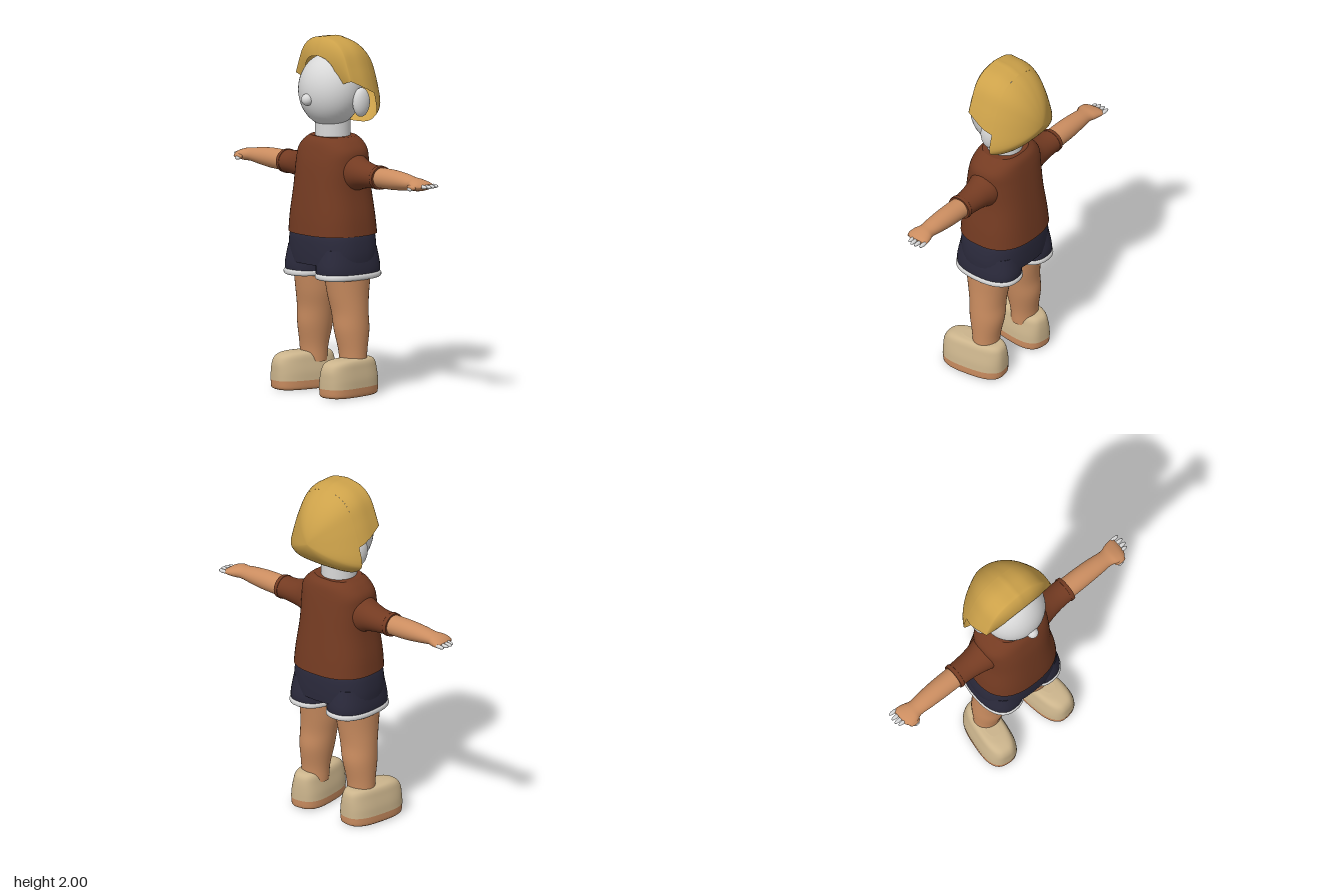
import * as THREE from 'three';

const paint = (name, color) => Object.assign(new THREE.MeshStandardMaterial({ color }), { name });

// Smooth solid through oval rings [t, centreU, centreW, radiusU, radiusW].
// axis 'y': u = x, w = z.  axis 'x': u = y, w = z.  power > 2 squares the oval.
function loft(rings, { axis = 'y', power = 2, seg = 36, steps = 5 } = {}) {
  const mid = new THREE.CatmullRomCurve3(rings.map(r => new THREE.Vector3(r[0], r[1], r[2])), false, 'catmullrom');
  const rad = new THREE.CatmullRomCurve3(rings.map(r => new THREE.Vector3(r[3], r[4], 0)), false, 'catmullrom');
  const rows = (rings.length - 1) * steps;
  const pos = [], idx = [];
  const put = (t, u, w) => (axis === 'y' ? pos.push(u, t, w) : pos.push(t, u, w));
  const tri = (a, b, c) => (axis === 'y' ? idx.push(a, b, c) : idx.push(a, c, b));
  const shape = v => Math.sign(v) * Math.abs(v) ** (2 / power);
  const ring = i => {
    const c = mid.getPoint(i / rows), r = rad.getPoint(i / rows);
    for (let j = 0; j < seg; j++) {
      const a = (j / seg) * Math.PI * 2;
      put(c.x, c.y + r.x * shape(Math.cos(a)), c.z + r.y * shape(Math.sin(a)));
    }
    return c;
  };
  for (let i = 0; i <= rows; i++) ring(i);
  for (let i = 0; i < rows; i++) {
    for (let j = 0; j < seg; j++) {
      const a = i * seg + j, b = i * seg + (j + 1) % seg;
      tri(a, a + seg, b);
      tri(b, a + seg, b + seg);
    }
  }
  // flat end caps with their own vertices
  for (const end of [0, rows]) {
    const start = pos.length / 3;
    const c = ring(end);
    put(c.x, c.y, c.z);
    for (let j = 0; j < seg; j++) {
      const a = start + j, b = start + (j + 1) % seg;
      if (end) tri(a, start + seg, b); else tri(a, b, start + seg);
    }
  }
  return finish(pos, idx);
}

function finish(pos, idx) {
  const g = new THREE.BufferGeometry();
  g.setAttribute('position', new THREE.Float32BufferAttribute(pos, 3));
  g.setIndex(idx);
  g.computeVertexNormals();
  return g;
}

const ball = (x, y, z, rx, ry, rz, detail = 28) =>
  new THREE.SphereGeometry(1, detail, Math.round(detail * 0.7)).scale(rx, ry, rz).translate(x, y, z);

// Copy of a geometry reflected to the -x side
function reflect(geo) {
  const g = geo.clone().scale(-1, 1, 1);
  const index = g.index.array;
  for (let i = 0; i < index.length; i += 3) [index[i], index[i + 1]] = [index[i + 1], index[i]];
  g.computeVertexNormals();
  return g;
}

// Hair shell: one arch-shaped outline, scaled along z slices [z, scale]
const outline = new THREE.CatmullRomCurve3([
  [0, 2], [0.1, 1.98], [0.17, 1.925], [0.215, 1.83], [0.25, 1.73],
  [0.285, 1.6], [0.265, 1.545], [0.18, 1.505], [0, 1.495],
].map(([x, y]) => new THREE.Vector3(x, y, 0)), false, 'catmullrom');

function hairShell(slices, lowest, half = 28) {
  const pos = [], idx = [], n = half * 2 + 1;
  for (const [z, s] of slices) {
    let end = 1;
    while (outline.getPoint(end).y < lowest(z) && end > 0.1) end -= 0.004;
    for (let j = -half; j <= half; j++) {
      const v = Math.abs(j) / half;
      const p = outline.getPoint(v * end);
      const depth = z > 0.08 ? 0.08 + (z - 0.08) * (1 - v * v) : z;
      pos.push(Math.sign(j) * p.x * s, 1.7 + (p.y - 1.7) * s, depth);
    }
  }
  for (let i = 0; i < slices.length - 1; i++) {
    for (let j = 0; j < n - 1; j++) {
      const a = i * n + j;
      idx.push(a, a + 1, a + n, a + 1, a + n + 1, a + n);
    }
  }
  return finish(pos, idx);
}

export function createModel() {
  const skin = paint('skin', 0xcb8d60);
  const pale = paint('pale', 0xd8d8d8);
  const shirt = paint('shirt brown', 0x743b22);
  const navy = paint('shorts navy', 0x2b2a3c);
  const shoe = paint('shoe beige', 0xcbb48c);
  const blond = paint('hair blond', 0xcda24a);
  blond.side = THREE.DoubleSide;

  const model = new THREE.Group();
  model.name = 'child';
  const add = (name, geo, mat) => {
    const mesh = new THREE.Mesh(geo, mat);
    mesh.name = name;
    model.add(mesh);
  };
  const addPair = (name, geo, mat) => {
    add('left' + name, geo, mat);
    add('right' + name, reflect(geo), mat);
  };

  // Head
  add('head', ball(0, 1.695, 0.03, 0.186, 0.207, 0.172, 40), pale);
  add('nose', ball(0, 1.655, 0.195, 0.034, 0.034, 0.036), pale);
  add('neck', new THREE.CylinderGeometry(0.1, 0.1, 0.16, 32).translate(0, 1.47, 0.01), pale);
  addPair('Ear', ball(0.192, 1.64, -0.035, 0.036, 0.082, 0.055), pale);

  // Hair: swept fringe and crown, then the full bob at the back
  const bulge = z => (z >= 0 ? 1 : (1 - (-z / 0.26) ** 1.8) ** 0.6);
  const front = [[0.122, 0.65], [0.12, 0.72], [0.113, 0.82], [0.1, 0.92], [0.082, 0.99]];
  for (let i = 0; i <= 8; i++) {
    const z = 0.075 - (0.165 * i) / 8;
    front.push([z, bulge(z)]);
  }
  const back = [];
  for (let i = 0; i <= 18; i++) {
    const z = -0.09 - 0.17 * Math.sin((i / 18) * Math.PI / 2);
    back.push([z, bulge(Math.max(z, -0.26))]);
  }
  add('hairFringe', hairShell(front, z => (z > 0.08 ? 1.77 : 1.77 + (z - 0.08) * 0.47)), blond);
  add('hairBob', hairShell(back, () => 0), blond);

  // Shirt
  add('shirtBody', loft([
    [0.895, 0, 0.01, 0.25, 0.215], [1.0, 0, 0.012, 0.24, 0.207], [1.15, 0, 0.013, 0.218, 0.19],
    [1.28, 0, 0.012, 0.215, 0.172], [1.36, 0, 0.008, 0.212, 0.155],
    [1.41, 0, 0.005, 0.175, 0.138], [1.44, 0, 0.005, 0.132, 0.112],
  ], { power: 2.5, seg: 48 }), shirt);
  addPair('Sleeve', loft([
    [0.12, 1.25, 0.005, 0.12, 0.105], [0.19, 1.25, 0.005, 0.108, 0.097], [0.25, 1.246, 0.005, 0.083, 0.083],
    [0.32, 1.243, 0.003, 0.068, 0.073], [0.385, 1.243, 0.003, 0.064, 0.07],
    [0.39, 1.243, 0.003, 0.068, 0.075], [0.412, 1.243, 0.003, 0.066, 0.073],
  ], { axis: 'x' }), shirt);

  // Arms and hands
  addPair('Arm', loft([
    [0.39, 1.243, 0.003, 0.057, 0.062], [0.52, 1.245, 0.004, 0.056, 0.06], [0.62, 1.246, 0.006, 0.047, 0.055],
    [0.69, 1.245, 0.008, 0.037, 0.05], [0.73, 1.243, 0.01, 0.035, 0.064],
    [0.77, 1.24, 0.006, 0.026, 0.068], [0.795, 1.238, -0.008, 0.012, 0.05],
  ], { axis: 'x' }), skin);
  addPair('Thumb', ball(0.745, 1.235, 0.068, 0.035, 0.016, 0.015, 16), skin);
  addPair('ThumbTip', ball(0.74, 1.226, 0.076, 0.02, 0.011, 0.012, 16), pale);
  [[0.8, -0.054], [0.808, -0.024], [0.808, 0.003], [0.798, 0.026]].forEach(([x, z], i) =>
    addPair('Finger' + (i + 1), ball(x, 1.24, z, 0.03, 0.011, 0.011, 16), pale));

  // Shorts with pale turn-ups
  add('shortsHips', loft([
    [0.73, 0, 0.012, 0.255, 0.2], [0.8, 0, 0.012, 0.257, 0.204],
    [0.88, 0, 0.012, 0.247, 0.203], [0.92, 0, 0.012, 0.23, 0.19],
  ], { power: 2.5, seg: 48 }), navy);
  addPair('ShortsLeg', loft([
    [0.665, 0.132, 0.012, 0.127, 0.194], [0.72, 0.132, 0.012, 0.127, 0.197], [0.82, 0.125, 0.012, 0.12, 0.18],
  ], { power: 2.4 }), navy);
  addPair('ShortsCuff', loft([
    [0.65, 0.134, 0.012, 0.122, 0.192], [0.658, 0.134, 0.012, 0.131, 0.202],
    [0.675, 0.134, 0.012, 0.131, 0.202], [0.687, 0.134, 0.012, 0.122, 0.192],
  ], { power: 2.4 }), pale);

  // Legs
  addPair('Leg', loft([
    [0.15, 0.17, 0.005, 0.08, 0.072], [0.24, 0.167, 0.005, 0.084, 0.078], [0.36, 0.157, 0.006, 0.098, 0.1],
    [0.46, 0.147, 0.01, 0.106, 0.103], [0.56, 0.136, 0.014, 0.115, 0.118], [0.68, 0.131, 0.015, 0.122, 0.138],
  ]), skin);

  // Shoes, toes turned slightly outward
  const turn = g => g.translate(0, 0, -0.06).rotateY(0.13).translate(0.195, 0, 0.06);
  addPair('ShoeSole', turn(loft([
    [0, 0, 0.06, 0.092, 0.175], [0.012, 0, 0.06, 0.102, 0.189], [0.055, 0, 0.06, 0.104, 0.193],
  ], { power: 2.8, seg: 48 })), skin);
  addPair('ShoeUpper', turn(loft([
    [0.052, 0, 0.06, 0.105, 0.194], [0.1, 0, 0.06, 0.1, 0.193], [0.15, 0, 0.06, 0.089, 0.189],
    [0.185, 0, 0.055, 0.08, 0.175], [0.203, 0, 0.045, 0.066, 0.145], [0.209, 0, 0.035, 0.04, 0.1],
  ], { power: 2.8, seg: 48 })), shoe);

  return model;
}
